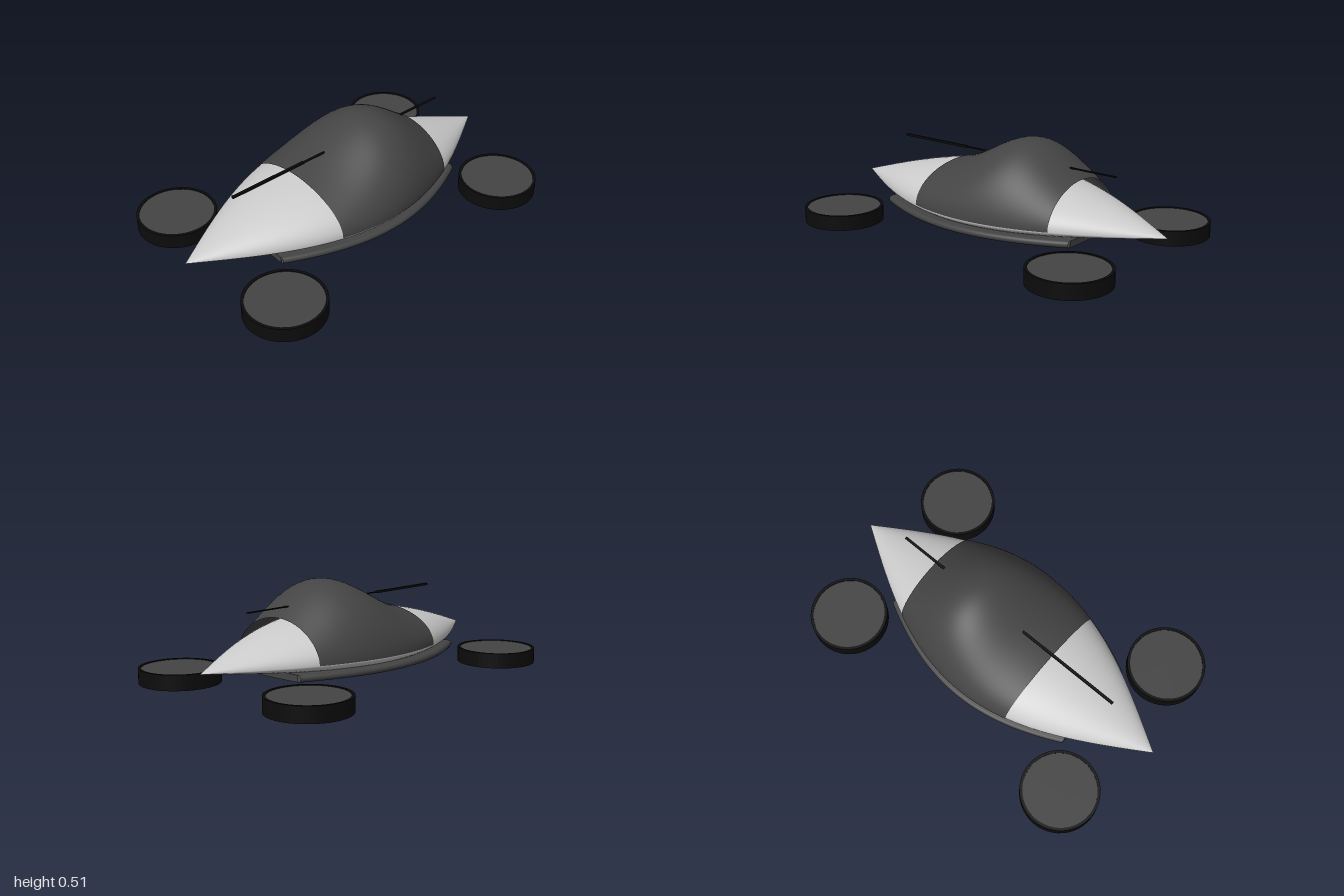
import * as THREE from 'three';
import { ParametricGeometry } from 'three/addons/geometries/ParametricGeometry.js';

const WAIST = 0.145; // height of the widest line of the hull
const taper = (x) => Math.cos((Math.PI * x) / 2);
const halfWidth = (x) => 0.4 * taper(x);

const paint = (color) => new THREE.MeshStandardMaterial({ color, side: THREE.DoubleSide });

function addMesh(parent, name, geometry, material, x = 0, y = 0, z = 0) {
  const mesh = new THREE.Mesh(geometry, material);
  mesh.name = name;
  mesh.position.set(x, y, z);
  parent.add(mesh);
  return mesh;
}

// Sweeps a cross-section along x: section(x, angle, target), angle from a0 to a1
function loft(x0, x1, a0, a1, section, along, around) {
  return new ParametricGeometry(
    (u, v, target) => section(x0 + (x1 - x0) * u, a0 + (a1 - a0) * v, target),
    along, around
  );
}

// Pointed hull: tall elliptical upper half, shallow lower half
function hullSection(x, a, target) {
  const s = Math.sin(a);
  target.set(x, WAIST + (s > 0 ? 0.2 : 0.08) * taper(x) * s, halfWidth(x) * Math.cos(a));
}

// Canopy follows the hull and swells into a smooth bump
function canopySection(x, a, target) {
  const s = Math.max(Math.sin(a), 0);
  const bump = 0.175 * Math.exp(-12 * (x - 0.2) ** 2);
  target.set(
    x,
    WAIST + 0.201 * taper(x) * s + bump * s ** 1.4,
    (halfWidth(x) + 0.002) * Math.cos(a)
  );
}

// Flat skirt with rounded side edges
function skirtSection(x, a, target) {
  const c = Math.cos(a);
  target.set(x, 0.093 + 0.018 * Math.sin(a), 0.02 * c + (c > 0 ? 1 : -1) * halfWidth(x));
}

export function createModel() {
  const model = new THREE.Group();
  model.name = 'hoverCraft';
  const grey = paint(0xcccccc);
  const dark = paint(0x444444);
  const black = paint(0x0c0c0c);

  // Body
  addMesh(model, 'upperHull', loft(-0.9995, 0.9995, 0, Math.PI, hullSection, 80, 32), grey);
  addMesh(model, 'lowerHull', loft(-0.9995, 0.9995, Math.PI, Math.PI * 2, hullSection, 80, 32), grey);
  addMesh(model, 'canopy', loft(-0.3, 0.5, 0, Math.PI, canopySection, 48, 40), dark);

  // Skirt under the hull, closed at both ends
  addMesh(model, 'skirt', loft(-0.6, 0.6, 0, Math.PI * 2, skirtSection, 48, 24), dark);
  for (const side of [-1, 1]) {
    addMesh(model, 'skirtEnd', new THREE.BoxGeometry(0.002, 0.035, 2 * halfWidth(0.6)), dark, side * 0.599, 0.093, 0);
  }

  // Thin blade running through the canopy, with a thicker barrel at one end
  addMesh(model, 'blade', new THREE.BoxGeometry(1.4, 0.005, 0.014), black, 0, 0.395, 0);
  addMesh(model, 'barrel', new THREE.BoxGeometry(0.45, 0.012, 0.014), black, -0.475, 0.395, 0);

  // Four lift pods: a black hoop around a dark disc
  const hoopProfile = [[0.195, 0], [0.21, 0], [0.21, 0.08], [0.195, 0.08], [0.195, 0]]
    .map(([r, y]) => new THREE.Vector2(r, y));
  const hoop = new THREE.LatheGeometry(hoopProfile, 48).toNonIndexed();
  hoop.computeVertexNormals();
  const disc = new THREE.CylinderGeometry(0.196, 0.196, 0.07, 48);
  for (const x of [-0.75, 0.75]) {
    for (const z of [-0.45, 0.45]) {
      const pod = new THREE.Group();
      pod.name = 'liftPod';
      pod.position.set(x, 0, z);
      addMesh(pod, 'podHoop', hoop, black);
      addMesh(pod, 'podDisc', disc, dark, 0, 0.041, 0);
      model.add(pod);
    }
  }
  return model;
}
